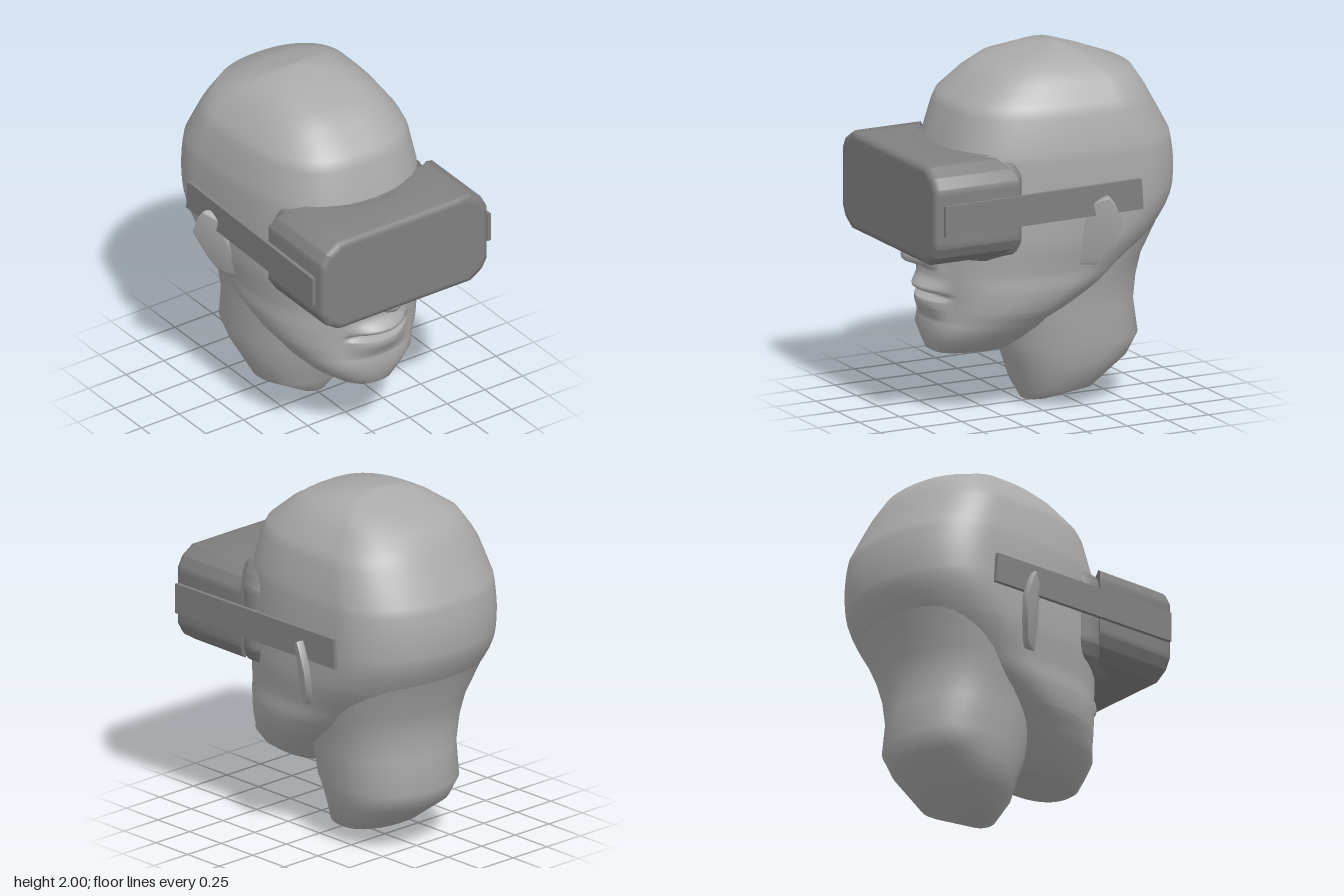
import * as THREE from 'three';
import { toCreasedNormals } from 'three/addons/utils/BufferGeometryUtils.js';

const skin = new THREE.MeshStandardMaterial({ color: 0xaaaaaa });
const casing = new THREE.MeshStandardMaterial({ color: 0x808080 });
const padding = new THREE.MeshStandardMaterial({ color: 0x808080, side: THREE.DoubleSide });

// Smooth (Hermite) lookup in rows of [key, value, value...], keys ascending
function lookup(rows, key) {
  const last = rows.length - 1;
  if (key <= rows[0][0]) return rows[0].slice(1);
  if (key >= rows[last][0]) return rows[last].slice(1);
  const i = rows.findIndex((row) => row[0] >= key), a = rows[i - 1], b = rows[i];
  const span = b[0] - a[0], t = (key - a[0]) / span;
  const slope = (j, k) => {
    const p = rows[Math.max(0, j - 1)], q = rows[Math.min(last, j + 1)];
    return (q[k] - p[k]) / (q[0] - p[0]) * span;
  };
  return a.slice(1).map((v, n) => {
    const k = n + 1, d = b[k] - v, ma = slope(i - 1, k), mb = slope(i, k);
    return v + t * ma + t * t * (3 * d - 2 * ma - mb) + t * t * t * (ma + mb - 2 * d);
  });
}

// Skin over closed rings of [x, y, z] points
function loft(rings) {
  const n = rings[0].length, index = [];
  for (let r = 0; r + 1 < rings.length; r++) {
    for (let i = 0; i < n; i++) {
      const a = r * n + i, b = r * n + (i + 1) % n;
      index.push(a, a + n, b, b, a + n, b + n);
    }
  }
  const geometry = new THREE.BufferGeometry();
  geometry.setAttribute('position', new THREE.Float32BufferAttribute(rings.flat(2), 3));
  geometry.setIndex(index);
  geometry.computeVertexNormals();
  return geometry;
}

function addMesh(parent, name, geometry, material) {
  const mesh = new THREE.Mesh(geometry, material);
  mesh.name = name;
  parent.add(mesh);
  return mesh;
}

// Horizontal rounded section; "widest" is where along its depth it is broadest
function section(y, [front, back, width], count, widest, frontPower, detail = () => 0) {
  const middle = back + widest * (front - back), ring = [];
  for (let i = 0; i < count; i++) {
    const t = (i / count) * Math.PI * 2, c = Math.cos(t), s = Math.sin(t);
    const n = s > 0 ? frontPower : 2.2;
    const r = (Math.abs(c) ** n + Math.abs(s) ** n) ** (-1 / n);
    const x = width * c * r;
    const z = middle + (s > 0 ? front - middle : middle - back) * s * r;
    ring.push([x, y, z + (s > 0.1 ? detail(x, y) : 0)]);
  }
  return ring;
}

// Rows: y, front z, back z, half width
const HEAD = [
  [0.344, 0.32, 0.32, 0], [0.345, 0.54, 0.13, 0.13], [0.358, 0.567, 0.1, 0.18], [0.41, 0.58, 0.04, 0.26],
  [0.48, 0.6, -0.05, 0.33], [0.53, 0.58, -0.1, 0.365], [0.61, 0.57, -0.24, 0.42], [0.72, 0.57, -0.43, 0.458],
  [0.82, 0.57, -0.57, 0.47], [1.0, 0.55, -0.72, 0.51], [1.2, 0.53, -0.82, 0.527], [1.51, 0.52, -0.8, 0.525],
  [1.69, 0.465, -0.7, 0.49], [1.75, 0.44, -0.67, 0.46], [1.86, 0.31, -0.6, 0.385], [1.93, 0.2, -0.42, 0.3],
  [1.98, -0.03, -0.27, 0.19], [2.0, -0.2, -0.2, 0],
];
const NECK = [
  [0, -0.07, -0.07, 0], [0.015, 0.0, -0.15, 0.08], [0.1, 0.035, -0.38, 0.27], [0.25, 0.09, -0.59, 0.32],
  [0.36, 0.13, -0.65, 0.355], [0.55, 0.16, -0.62, 0.365], [0.7, 0.18, -0.63, 0.39], [0.82, 0.18, -0.65, 0.425],
  [1.0, 0.1, -0.73, 0.465], [1.15, 0, -0.79, 0.48],
];
// Rows: y, forward bulge
const NOSE = [[0.82, 0], [0.84, 0.06], [0.88, 0.165], [0.95, 0.18], [1.05, 0.14], [1.25, 0.03], [1.32, 0]];
const LIPS = [
  [0.5, 0], [0.54, 0.01], [0.58, 0.035], [0.615, 0.055], [0.655, 0.055], [0.68, -0.03],
  [0.7, 0.06], [0.725, 0.08], [0.77, 0.03], [0.82, 0.02], [0.86, 0],
];

function faceDetail(x, y) {
  const nose = lookup(NOSE, y)[0] * Math.exp(-(Math.abs(x / 0.085) ** 2.5));
  const lips = lookup(LIPS, y)[0] * Math.max(0, 1 - (x / 0.2) ** 2);
  return nose + lips;
}

function headGeometry() {
  const levels = HEAD.map((row) => row[0]);
  for (let y = 0.55; y < 1.0; y += 0.02) levels.push(y);
  for (let y = 1.04; y < 1.5; y += 0.06) levels.push(y);
  levels.push(0.655, 0.68, 0.7);
  levels.sort((a, b) => a - b);
  return loft(levels.map((y) => {
    // Narrow oval jaw blends into a skull that is broad toward the back
    const skull = THREE.MathUtils.smoothstep(y, 0.6, 1.15);
    return section(y, lookup(HEAD, y), 96, 0.45 - 0.15 * skull, 2.4 + 0.6 * skull, faceDetail);
  }));
}

// Octagonal outline in xy, counter-clockwise, with each edge subdivided
function octagon(w, h, c, steps = 10) {
  const quarter = [[w, h - c], [w - c * 0.3, h - c * 0.45], [w - c, h]];
  const flip = (sx, sy) => quarter.map(([x, y]) => [x * sx, y * sy]);
  const corners = [...flip(1, 1), ...flip(-1, 1).reverse(), ...flip(-1, -1), ...flip(1, -1).reverse()];
  return corners.flatMap((a, i) => {
    const b = corners[(i + 1) % corners.length];
    return Array.from({ length: steps }, (_, k) => [a[0] + (b[0] - a[0]) * k / steps, a[1] + (b[1] - a[1]) * k / steps]);
  });
}

const MID = 1.235; // height of the visor centre

function visorGeometry() {
  const outline = octagon(0.55, 0.275, 0.11);
  const ring = (inset, zAt) => outline.map(([x, y]) => {
    const px = x * (1 - inset / 0.55), py = y * (1 - inset / 0.275);
    return [px, MID + py, zAt(px)];
  });
  // The back is hollowed to follow the face
  const back = (x) => 0.535 - 0.23 * (x / 0.55) ** 2;
  const shrink = (s) => outline.map(([x, y]) => [x * s, MID + y * s, back(x * s)]);
  return toCreasedNormals(loft([
    outline.map(() => [0, MID, 0.82]),
    ring(0.04, () => 0.82), ring(0.03, () => 0.82), ring(0.008, () => 0.812), ring(0, () => 0.79), ring(0, back),
    shrink(0.75), shrink(0.4), shrink(0),
  ]), 0.9);
}

function gasketGeometry() {
  const outline = octagon(0.49, 0.3, 0.12);
  const ring = (s, depth) => outline.map(([x, y]) => {
    const px = x * s;
    // Lower edge arches over the nose
    const arch = y < -0.2 ? 0.05 * Math.exp(-((x / 0.15) ** 2)) : 0;
    return [px, MID - 0.02 + y * s + arch, 0.53 - 0.29 * Math.min(1, Math.abs(px) / 0.43) ** 2 + depth];
  });
  return toCreasedNormals(loft([ring(0.9, 0.2), ring(0.98, 0.12), ring(1, 0.05), ring(0.96, 0.01), ring(0.88, 0), ring(0.82, 0.1)]), 0.9);
}

// Ear drawn in (backward, up), then leaned outward toward its back and top
function earGeometry() {
  const shape = new THREE.Shape([
    [0.08, 0.87], [0.17, 0.87], [0.2, 0.9], [0.235, 0.98], [0.275, 1.1],
    [0.235, 1.21], [0.21, 1.245], [0.145, 1.21], [0.13, 1.1], [0.1, 1.0],
  ].map(([u, v]) => new THREE.Vector2(u, v)));
  const geometry = new THREE.ExtrudeGeometry(shape, {
    depth: 0.03, bevelThickness: 0.012, bevelSize: 0.012, bevelSegments: 2,
  });
  geometry.rotateY(Math.PI / 2); // shape x becomes -z, depth becomes +x
  const p = geometry.attributes.position;
  for (let i = 0; i < p.count; i++) {
    p.setX(i, p.getX(i) + 0.495 + (-p.getZ(i) - 0.12) * 0.62 + (p.getY(i) - 1.1) * 0.2);
  }
  return toCreasedNormals(geometry, 1);
}

function strapGeometry() {
  const geometry = new THREE.BoxGeometry(0.022, 0.17, 1.23);
  const p = geometry.attributes.position;
  // Slanted rear end
  for (let i = 0; i < p.count; i++) {
    if (p.getZ(i) < 0 && p.getY(i) > 0) p.setZ(i, p.getZ(i) + 0.012);
  }
  geometry.computeVertexNormals();
  return geometry;
}

export function createModel() {
  const model = new THREE.Group();
  model.name = 'headWithVisor';

  addMesh(model, 'head', headGeometry(), skin);
  addMesh(model, 'neck', loft(NECK.map(([y, ...row]) => section(y, row, 48, 0.42, 2.2))), skin);

  const headset = new THREE.Group();
  headset.name = 'headset';
  model.add(headset);
  addMesh(headset, 'visorBody', visorGeometry(), casing);
  addMesh(headset, 'faceGasket', gasketGeometry(), padding);

  // Mirrored ears and straps
  const ear = earGeometry(), strap = strapGeometry();
  for (const [side, sign] of [['left', 1], ['right', -1]]) {
    addMesh(model, side + 'Ear', ear, skin).scale.x = sign;
    const band = addMesh(headset, side + 'Strap', strap, casing);
    band.position.set(sign * 0.567, MID, 0.165);
    band.rotation.y = sign * 0.024;
  }
  return model;
}
